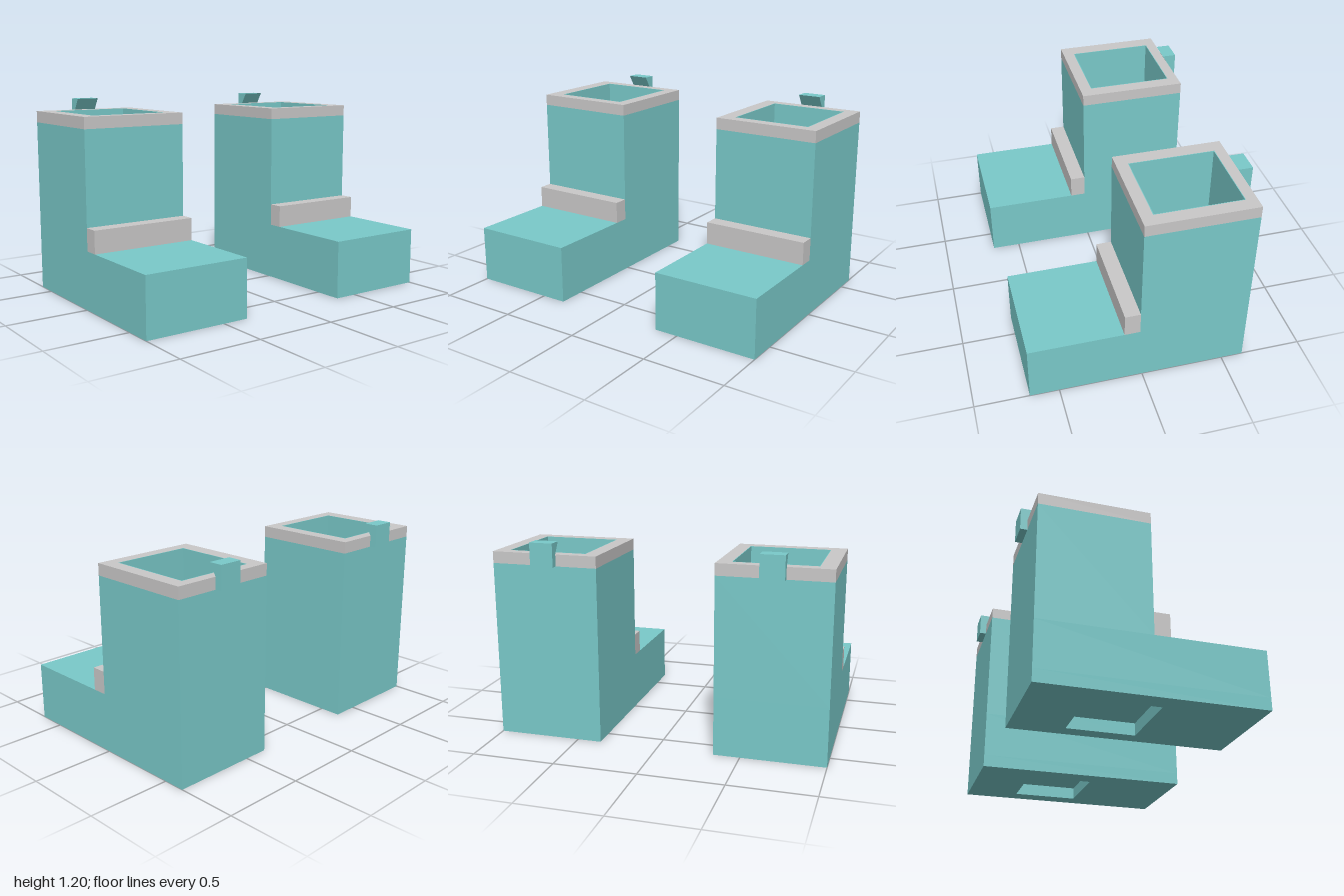
import * as THREE from 'three';

const teal = new THREE.MeshStandardMaterial({ color: 0x79c9c9 });
teal.name = 'teal leather';
const grey = new THREE.MeshStandardMaterial({ color: 0xc9c8c8 });
grey.name = 'grey trim';

// Rectangle in plan: [x0, x1, z0, z1]
const corners = ([x0, x1, z0, z1]) =>
  [[x0, -z1], [x1, -z1], [x1, -z0], [x0, -z0]].map(([x, y]) => new THREE.Vector2(x, y));
const grow = ([x0, x1, z0, z1], d) => [x0 - d, x1 + d, z0 - d, z1 + d];

function mesh(name, geometry, material) {
  const m = new THREE.Mesh(geometry, material);
  m.name = name;
  return m;
}

// Upright block between two heights, with an optional rectangular opening
function block(name, material, rect, y0, y1, opening) {
  const shape = new THREE.Shape(corners(rect));
  if (opening) shape.holes.push(new THREE.Path(corners(opening)));
  const g = new THREE.ExtrudeGeometry(shape, { depth: y1 - y0, bevelEnabled: false });
  g.rotateX(-Math.PI / 2).translate(0, y0, 0);
  return mesh(name, g, material);
}

// Pull tab with a slanted front lip, profile in (z, y)
function pullTab(x0, x1) {
  const profile = [[-0.675, 1.06], [-0.633, 1.06], [-0.633, 1.13], [-0.59, 1.2], [-0.675, 1.2]];
  const shape = new THREE.Shape(profile.map(([z, y]) => new THREE.Vector2(-z, y)));
  const g = new THREE.ExtrudeGeometry(shape, { depth: x1 - x0, bevelEnabled: false });
  g.rotateY(Math.PI / 2).translate(x0, 0, 0);
  return mesh('pullTab', g, teal);
}

function boot(name, { x, opening, recess, tab }) {
  const group = new THREE.Group();
  group.name = name;
  const back = -0.633, shin = 0.02, toe = 0.675;
  const foot = [...x, back, toe];
  const leg = [...x, back, shin];
  const hole = [...opening, -0.565, -0.055];
  const outerHole = grow(hole, 0.004);

  group.add(
    // Foot, with a shallow recess under the sole
    block('sole', teal, foot, 0, 0.075, [...recess, -0.31, 0.1]),
    block('foot', teal, foot, 0.075, 0.355),
    // Hollow leg with its lining and collar
    block('leg', teal, leg, 0.355, 1.06, outerHole),
    block('lining', teal, outerHole, 0.355, 1.13, hole),
    block('collar', grey, leg, 1.06, 1.13, outerHole),
    // Strap across the ankle
    block('ankleStrap', grey, [...x, shin, 0.113], 0.355, 0.493),
    pullTab(...tab)
  );
  return group;
}

export function createModel() {
  const model = new THREE.Group();
  model.name = 'boots';
  model.add(
    boot('rightBoot', { x: [-1, -0.342], opening: [-0.905, -0.428], recess: [-0.875, -0.435], tab: [-0.738, -0.597] }),
    boot('leftBoot', { x: [0.354, 1], opening: [0.445, 0.915], recess: [0.48, 0.89], tab: [0.602, 0.743] })
  );
  return model;
}
